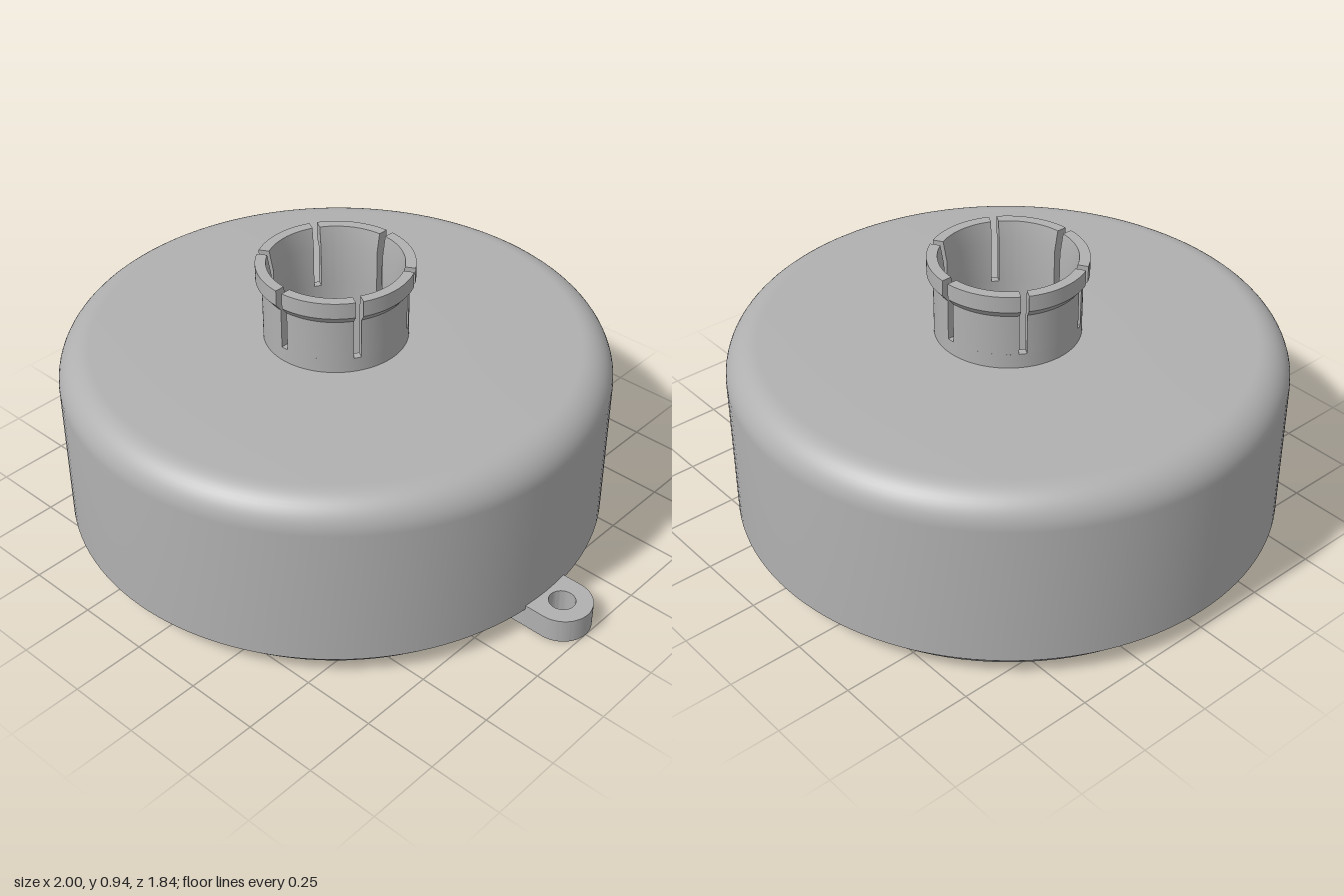
import * as THREE from 'three';
import { toCreasedNormals } from 'three/addons/utils/BufferGeometryUtils.js';

const AXIS_X = -0.082;   // drum axis
const BORE = 0.213;
const COLLAR = 0.24;
const SLOT_Y = 0.72;     // floor of the collar slots
const HALF_SLOT = 0.0125;

// Sweeps a counter-clockwise (radius, y) profile between two parallel-sided slots
function fingerGeometry(profile, start, end, steps) {
  const n = profile.length, pos = [], index = [];
  for (let j = 0; j <= steps; j++) {
    for (const p of profile) {
      const gap = Math.asin(HALF_SLOT / p.x);
      const a = THREE.MathUtils.lerp(start + gap, end - gap, j / steps);
      pos.push(p.x * Math.sin(a), p.y, p.x * Math.cos(a));
    }
  }
  for (let j = 0; j < steps; j++) {
    for (let i = 0; i < n; i++) {
      const k = (i + 1) % n;
      const a = j * n + i, b = a + n, d = j * n + k, c = d + n;
      index.push(a, b, d, c, d, b);
    }
  }
  // end faces along the slots
  for (const [a, b, c] of THREE.ShapeUtils.triangulateShape(profile, [])) {
    index.push(a, b, c);
    const o = steps * n;
    index.push(o + a, o + c, o + b);
  }
  const g = new THREE.BufferGeometry();
  g.setAttribute('position', new THREE.Float32BufferAttribute(pos, 3));
  g.setIndex(index);
  return toCreasedNormals(g, 0.4);
}

export function createModel() {
  const model = new THREE.Group();
  model.name = 'drumWithCollar';
  const grey = new THREE.MeshStandardMaterial({ color: 0xb0b0b0 });
  grey.name = 'grey';
  const add = (name, geometry, parent) => {
    const mesh = new THREE.Mesh(geometry, grey);
    mesh.name = name;
    parent.add(mesh);
    return mesh;
  };
  const v = (x, y) => new THREE.Vector2(x, y);

  const turned = new THREE.Group();
  turned.name = 'turnedParts';
  turned.position.x = AXIS_X;
  model.add(turned);

  // Drum: chamfered foot, rounded shoulder, collar root and through bore
  const R = 0.918, H = 0.67, F = 0.11;
  const profile = [v(BORE, 0), v(0.85, 0), v(R, 0.07)];
  for (let i = 0; i <= 12; i++) {
    const a = (i / 12) * Math.PI / 2;
    profile.push(v(R - F + F * Math.cos(a), H - F + F * Math.sin(a)));
  }
  profile.push(v(COLLAR, H), v(COLLAR, SLOT_Y), v(BORE, SLOT_Y), v(BORE, 0));
  add('drum', toCreasedNormals(new THREE.LatheGeometry(profile, 128), 0.4), turned);

  // Six snap fingers with an outer lip, separated by slots
  const finger = [
    v(BORE, SLOT_Y), v(COLLAR, SLOT_Y), v(COLLAR, 0.86), v(0.26, 0.885),
    v(0.26, 0.94), v(0.225, 0.94), v(BORE, 0.87),
  ];
  const fingers = new THREE.Group();
  fingers.name = 'snapFingers';
  turned.add(fingers);
  const geometry = fingerGeometry(finger, 0, Math.PI / 3, 20);
  for (let i = 0; i < 6; i++) {
    add('snapFinger', geometry, fingers).rotation.y = i * Math.PI / 3;
  }

  // Mounting ear with a round end and screw hole
  const ear = new THREE.Shape();
  ear.moveTo(0.762, -0.1);
  ear.lineTo(0.9, -0.1);
  ear.absarc(0.9, 0, 0.1, -Math.PI / 2, Math.PI / 2, false);
  ear.lineTo(0.762, 0.1);
  ear.closePath();
  const hole = new THREE.Path();
  hole.absarc(0.9, 0, 0.044, 0, Math.PI * 2, true);
  ear.holes.push(hole);
  const earGeometry = new THREE.ExtrudeGeometry(ear, { depth: 0.085, bevelEnabled: false, curveSegments: 32 });
  earGeometry.rotateX(-Math.PI / 2);
  add('mountingEar', toCreasedNormals(earGeometry, 0.4), model);

  return model;
}
